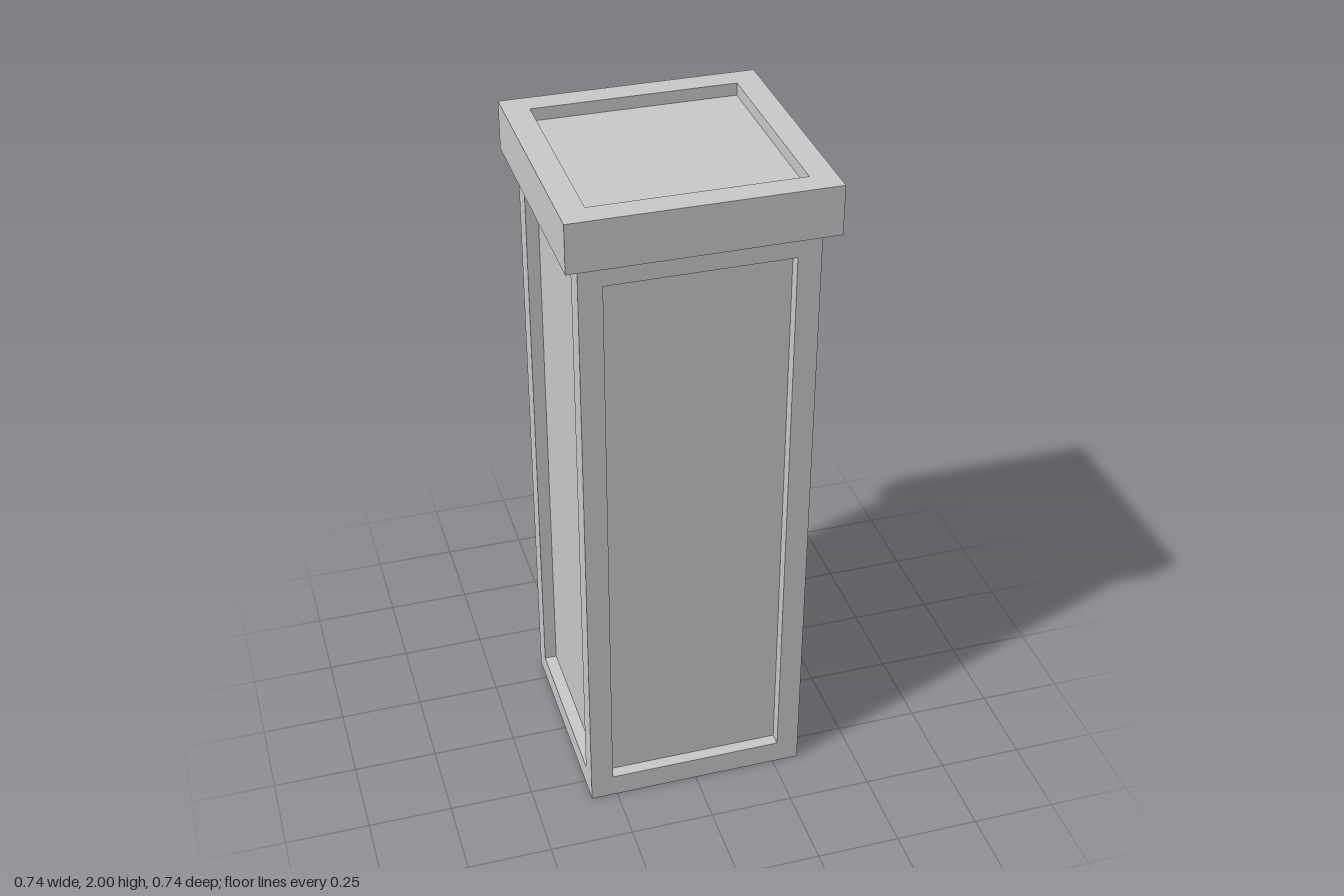
import * as THREE from 'three';

const BODY_W = 0.66, BODY_H = 1.857, CAP_W = 0.74, CAP_H = 0.143;
const DEPTH = 0.037;

// Rectangular face in the xy plane facing +z, with a sunken panel:
// rectangle loops run from the outer border to the panel centre
function recessedFace(w, h, insetX, insetY, depth) {
  const ix = w / 2 - insetX, iy = h / 2 - insetY;
  const loops = [[w / 2, h / 2, 0], [ix, iy, 0], [ix, iy, -depth], [0, 0, -depth]];
  const corners = [[-1, -1], [1, -1], [1, 1], [-1, 1]];
  const at = (loop, k) => [loop[0] * corners[k % 4][0], loop[1] * corners[k % 4][1], loop[2]];
  const pos = [];
  for (let i = 0; i < loops.length - 1; i++) {
    for (let k = 0; k < 4; k++) {
      const a = at(loops[i], k), b = at(loops[i], k + 1);
      const c = at(loops[i + 1], k + 1), d = at(loops[i + 1], k);
      pos.push(...a, ...b, ...c);
      if (i < loops.length - 2) pos.push(...a, ...c, ...d);
    }
  }
  const geometry = new THREE.BufferGeometry();
  geometry.setAttribute('position', new THREE.Float32BufferAttribute(pos, 3));
  geometry.computeVertexNormals();
  return geometry;
}

export function createModel() {
  const model = new THREE.Group();
  model.name = 'pedestal';
  const material = new THREE.MeshStandardMaterial({ color: 0xcccccc, flatShading: true });
  const add = (parent, name, geometry) => {
    const mesh = new THREE.Mesh(geometry, material);
    mesh.name = name;
    parent.add(mesh);
    return mesh;
  };

  // Column with a sunken panel on each side
  const column = new THREE.Group();
  column.name = 'column';
  model.add(column);
  const side = recessedFace(BODY_W, BODY_H, 0.067, 0.072, DEPTH).translate(0, BODY_H / 2, BODY_W / 2);
  ['frontPanel', 'leftPanel', 'backPanel', 'rightPanel'].forEach((name, i) => {
    add(column, name, side).rotation.y = i * Math.PI / 2;
  });
  add(column, 'columnBottom', new THREE.PlaneGeometry(BODY_W, BODY_W).rotateX(Math.PI / 2));

  // Overhanging cap with a sunken top
  const cap = new THREE.Group();
  cap.name = 'cap';
  cap.position.y = BODY_H;
  model.add(cap);
  const rim = new THREE.PlaneGeometry(CAP_W, CAP_H).translate(0, CAP_H / 2, CAP_W / 2);
  ['capFront', 'capLeft', 'capBack', 'capRight'].forEach((name, i) => {
    add(cap, name, rim).rotation.y = i * Math.PI / 2;
  });
  add(cap, 'capTop', recessedFace(CAP_W, CAP_W, 0.073, 0.073, DEPTH).rotateX(-Math.PI / 2).translate(0, CAP_H, 0));
  add(cap, 'capUnderside', new THREE.PlaneGeometry(CAP_W, CAP_W).rotateX(Math.PI / 2));

  return model;
}
